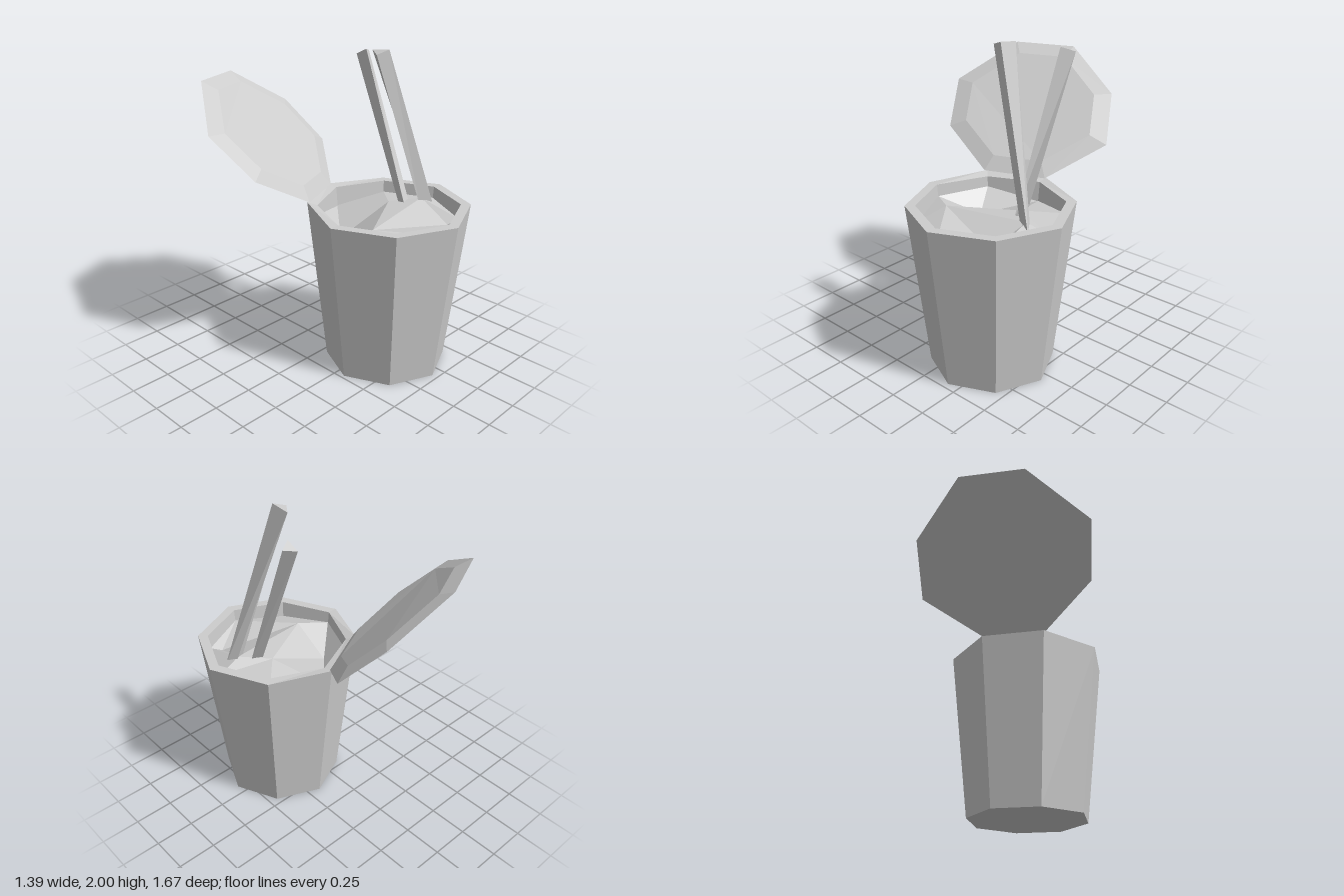
import * as THREE from 'three';

const V = (x, y, z) => new THREE.Vector3(x, y, z);
const CX = 0.17, CZ = 0.315;

// Octagonal ring around the cup axis, counter-clockwise from above
function octagon(r, y, lift = {}) {
  return Array.from({ length: 8 }, (_, i) => {
    const a = -i * Math.PI / 4, s = i % 2 ? r * 0.975 : r;
    return V(CX + s * Math.cos(a), y + (lift[i] || 0), CZ + s * Math.sin(a));
  });
}

// Flat-faced geometry from a list of triangle corners
function facets(points) {
  const g = new THREE.BufferGeometry().setFromPoints(points);
  g.computeVertexNormals();
  return g;
}

// Skin a series of rings, with optional end caps
function loft(rings, capStart, capEnd) {
  const out = [];
  for (let k = 0; k + 1 < rings.length; k++) {
    const a = rings[k], b = rings[k + 1], n = a.length;
    for (let i = 0; i < n; i++) {
      const j = (i + 1) % n;
      out.push(a[i], a[j], b[j], a[i], b[j], b[i]);
    }
  }
  const first = rings[0], last = rings[rings.length - 1];
  for (let i = 1; i + 1 < first.length; i++) {
    if (capStart) out.push(first[0], first[i + 1], first[i]);
    if (capEnd) out.push(last[0], last[i], last[i + 1]);
  }
  return facets(out);
}

export function createModel() {
  const model = new THREE.Group();
  model.name = 'noodleCup';
  const grey = new THREE.MeshStandardMaterial({ color: 0xcccccc });
  grey.name = 'lightGrey';
  const add = (name, geometry) => {
    const mesh = new THREE.Mesh(geometry, grey);
    mesh.name = name;
    model.add(mesh);
  };

  // Tapered cup with a thick rim, slightly lifted where the lid is attached
  add('cup', loft([
    octagon(0.398, 0),
    octagon(0.52, 1.055, { 2: 0.01, 3: 0.02 }),
    octagon(0.456, 1.055),
    octagon(0.428, 0.8),
  ], true, false));

  // Peeled-back lid: flat back, bevelled raised front
  const back = [
    V(-0.70, 1.545, -0.32), V(-0.56, 1.29, -0.085), V(-0.19, 1.08, -0.02), V(0.17, 1.065, -0.19),
    V(0.41, 1.26, -0.51), V(0.28, 1.525, -0.74), V(-0.11, 1.768, -0.84), V(-0.47, 1.778, -0.675),
  ];
  const centre = back.reduce((s, p) => s.add(p), V(0, 0, 0)).divideScalar(8);
  const normal = V(0.31, 0.73, 0.6).normalize();
  const front = back.map(p => p.clone().sub(centre).multiplyScalar(0.79).add(centre).addScaledVector(normal, 0.025));
  add('lid', loft([back, front], true, true));

  // Uneven faceted noodle surface: edge ring 0-7, inner points 8-12
  const heights = [0.98, 0.98, 0.93, 0.99, 0.98, 0.95, 0.98, 0.96];
  const pts = octagon(0.446, 0).map((p, i) => p.setY(heights[i]));
  pts.push(V(-0.08, 0.86, 0.14), V(-0.1, 1.0, 0.42), V(0.41, 0.93, 0.59), V(0.3, 1.01, 0.2), V(0.46, 1.03, 0.34));
  const faces = [
    [1, 2, 11], [2, 8, 11], [2, 3, 8], [3, 4, 8], [4, 9, 8], [8, 9, 11], [4, 5, 9], [5, 6, 9],
    [6, 10, 9], [6, 7, 10], [7, 0, 12], [7, 12, 10], [9, 10, 12], [9, 12, 11], [0, 1, 11], [0, 11, 12],
  ];
  add('noodles', facets(faces.flat().map(i => pts[i])));

  // Two three-sided chopsticks
  add('frontChopstick', loft([
    [V(0.435, 0.97, 0.355), V(0.52, 0.97, 0.395), V(0.49, 0.97, 0.34)],
    [V(0.12, 1.975, 0.23), V(0.197, 2.0, 0.26), V(0.195, 1.985, 0.13)],
  ], true, true));
  add('backChopstick', loft([
    [V(0.335, 0.97, 0.315), V(0.4, 0.97, 0.3), V(0.335, 0.97, 0.27)],
    [V(0.36, 1.945, -0.065), V(0.435, 1.922, -0.11), V(0.36, 1.905, -0.147)],
  ], true, true));

  return model;
}
